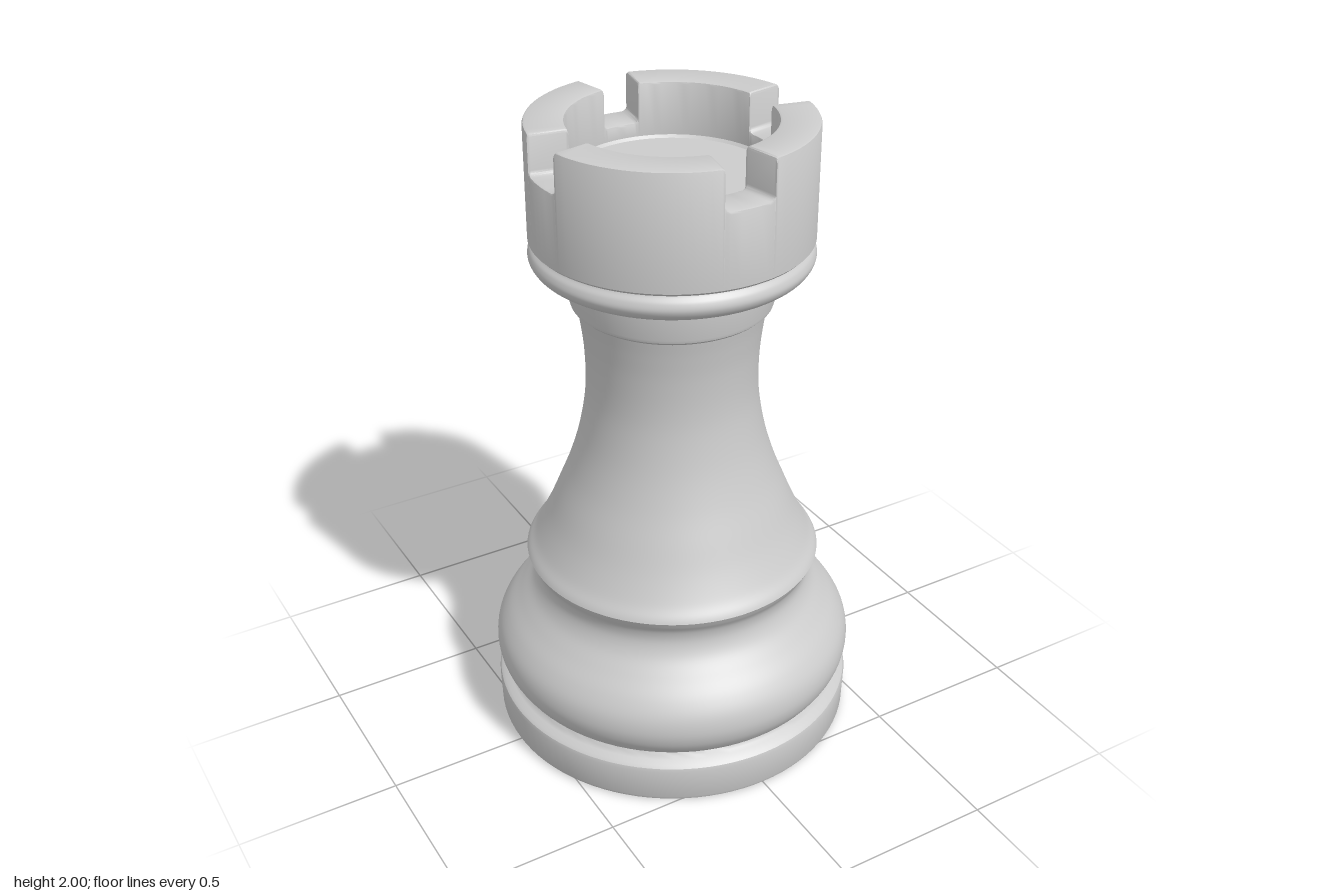
import * as THREE from 'three';
import { toCreasedNormals } from 'three/addons/utils/BufferGeometryUtils.js';

const material = new THREE.MeshStandardMaterial({ color: 0xcccccc });
const SEGMENTS = 96;

const toVectors = (pairs) => pairs.map(([r, y]) => new THREE.Vector2(r, y));

// Turned section from [radius, height] pairs, listed bottom to top
function turned(name, pairs, smooth) {
  let points = toVectors(pairs);
  if (smooth) points = new THREE.SplineCurve(points).getPoints(pairs.length * 5);
  let geometry = new THREE.LatheGeometry(points, SEGMENTS);
  if (!smooth) geometry = toCreasedNormals(geometry, 0.5);
  const mesh = new THREE.Mesh(geometry, material);
  mesh.name = name;
  return mesh;
}

// Crown: one wall profile swept round, its top edge dropping at four notches
function crown() {
  const floorY = 1.83, notchY = 1.88, topY = 2, bevel = 0.008;
  const outer = 0.415, inner = 0.298;

  // Half a notch as [degrees from its middle, top height], with rounded corners
  const halfNotch = [
    [0, notchY], [4, notchY], [8.6, notchY], [9.9, notchY + 0.003],
    [10.7, notchY + 0.008], [11, notchY + 0.015], [11, topY - 0.008],
    [11.3, topY - 0.003], [12, topY],
  ];
  const rim = [];
  for (let q = 0; q < 4; q++) {
    const mid = q * 90;
    for (const [a, h] of [...halfNotch].reverse()) rim.push([mid - a, h]);
    for (const [a, h] of halfNotch.slice(1)) rim.push([mid + a, h]);
    for (let k = 1; k < 16; k++) rim.push([mid + 12 + (k * 66) / 16, topY]);
  }

  // Wall section: underside, outside, top, inside, floor
  const section = (h) => [
    [0.3, 1.648], [outer - bevel, 1.648], [outer, 1.656], [outer, h - bevel],
    [outer - bevel * 0.3, h - bevel * 0.3], [outer - bevel, h],
    [inner + bevel, h], [inner + bevel * 0.3, h - bevel * 0.3], [inner, h - bevel],
    [inner, floorY + bevel], [inner - bevel, floorY], [0, floorY],
  ];

  const positions = [], indices = [];
  const n = section(topY).length;
  rim.forEach(([deg, h], i) => {
    const a = THREE.MathUtils.degToRad(deg);
    for (const [r, y] of section(h)) positions.push(r * Math.sin(a), y, r * Math.cos(a));
    const next = (i + 1) % rim.length;
    for (let j = 0; j < n - 1; j++) {
      const p = i * n + j, q = next * n + j;
      indices.push(p, q, p + 1, q + 1, p + 1, q);
    }
  });
  const geometry = new THREE.BufferGeometry();
  geometry.setAttribute('position', new THREE.Float32BufferAttribute(positions, 3));
  geometry.setIndex(indices);
  const mesh = new THREE.Mesh(toCreasedNormals(geometry, 0.6), material);
  mesh.name = 'crown';
  return mesh;
}

export function createModel() {
  const group = new THREE.Group();
  group.name = 'rook';
  group.add(
    // Flat foot with a sloped shoulder
    turned('foot', [
      [0, 0], [0.558, 0], [0.566, 0.004], [0.57, 0.014], [0.573, 0.115],
      [0.57, 0.127], [0.562, 0.135], [0.545, 0.143], [0.535, 0.15], [0.53, 0.16],
    ], false),
    // Swelling above the foot, narrowing to a waist and flaring to the ledge
    turned('bulge', [
      [0.53, 0.16], [0.545, 0.178], [0.565, 0.215], [0.573, 0.26], [0.564, 0.31],
      [0.535, 0.36], [0.49, 0.412], [0.451, 0.46], [0.433, 0.505], [0.436, 0.545],
      [0.452, 0.575], [0.462, 0.595],
    ], true),
    // Concave shaft
    turned('shaft', [
      [0.462, 0.595], [0.454, 0.61], [0.43, 0.645], [0.394, 0.715], [0.36, 0.795],
      [0.32, 0.895], [0.288, 1.0], [0.267, 1.11], [0.26, 1.2], [0.263, 1.3],
      [0.272, 1.38], [0.281, 1.435],
    ], true),
    // Stepped neck ring
    turned('neck', [
      [0.281, 1.435], [0.29, 1.44], [0.299, 1.448], [0.302, 1.458], [0.302, 1.548],
    ], false),
    // Rounded collar beneath the crown
    turned('collar', [
      [0.302, 1.546], [0.34, 1.55], [0.378, 1.562], [0.405, 1.58], [0.417, 1.603],
      [0.412, 1.625], [0.4, 1.64], [0.395, 1.65],
    ], true),
    crown(),
  );
  return group;
}
